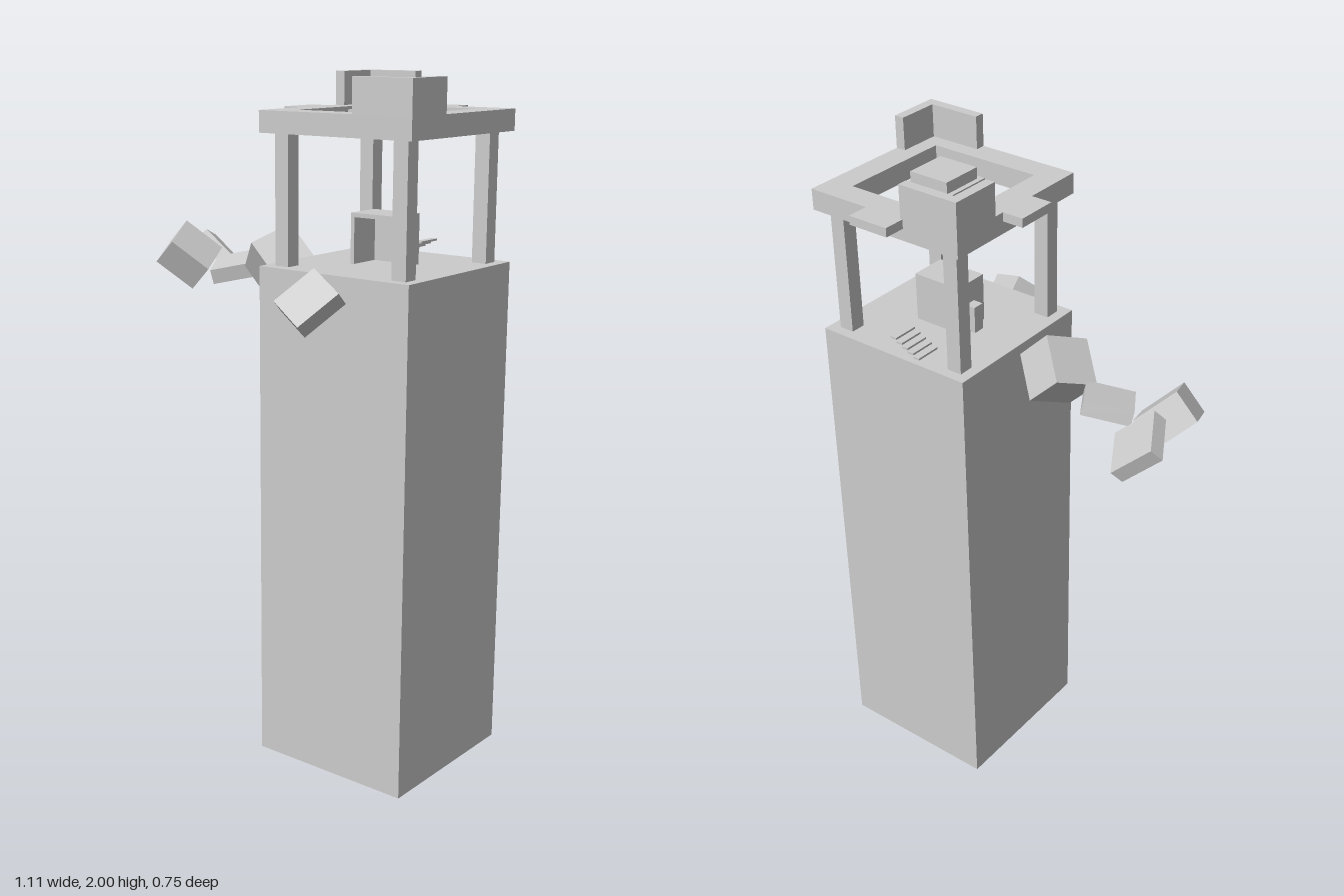
import * as THREE from 'three';

const stone = new THREE.MeshStandardMaterial({ color: 0xcccccc });
stone.name = 'stone';

export function createModel() {
  const model = new THREE.Group();
  model.name = 'ruinedTower';
  const tower = new THREE.Group();
  tower.name = 'tower';
  tower.position.set(0.3, 0, -0.06);
  model.add(tower);

  const add = (name, geometry, parent = tower) => {
    const mesh = new THREE.Mesh(geometry, stone);
    mesh.name = name;
    parent.add(mesh);
    return mesh;
  };
  // Box given by its lower and upper corners
  const block = (name, x0, x1, y0, y1, z0, z1, parent = tower) => {
    const mesh = add(name, new THREE.BoxGeometry(x1 - x0, y1 - y0, z1 - z0), parent);
    mesh.position.set((x0 + x1) / 2, (y0 + y1) / 2, (z0 + z1) / 2);
    return mesh;
  };

  const half = 0.2525, floor = 1.476, deck = 1.843, top = 1.904;

  // Shaft and corner pillars
  block('shaft', -half, half, 0, floor, -half, half);
  for (const x of [-0.198, 0.198])
    for (const z of [-0.198, 0.198])
      block('pillar', x - 0.023, x + 0.023, floor, deck, z - 0.023, z + 0.023);

  // Square ring deck
  const square = (r) => [[-r, -r], [r, -r], [r, r], [-r, r]].map(([x, y]) => new THREE.Vector2(x, y));
  const ring = new THREE.Shape(square(half));
  ring.holes.push(new THREE.Path(square(0.175).reverse()));
  const ringGeo = new THREE.ExtrudeGeometry(ring, { depth: top - deck, bevelEnabled: false });
  add('deckRing', ringGeo.rotateX(-Math.PI / 2)).position.y = deck;

  // L-shaped parapets on two opposite corners
  const ell = new THREE.Shape([
    [0.063, -half], [half, -half], [half, -0.095], [half - 0.03, -0.095],
    [half - 0.03, -half + 0.03], [0.063, -half + 0.03],
  ].map(([x, y]) => new THREE.Vector2(x, y)));
  const ellGeo = new THREE.ExtrudeGeometry(ell, { depth: 2 - top, bevelEnabled: false }).rotateX(-Math.PI / 2);
  for (const turn of [0, Math.PI]) {
    const parapet = add('parapet', ellGeo);
    parapet.position.y = top;
    parapet.rotation.y = turn;
  }

  // Overhanging ledges on the side and back
  block('sideLedge', -0.317, -half, 1.878, top, -0.064, 0.062);
  block('backLedge', -0.07, 0.057, 1.878, top, -0.317, -half);

  // Stepped block hovering in the ring
  block('hoverBase', -0.079, 0.079, deck, top, -0.079, 0.079);
  block('hoverCap', -0.064, 0.064, top, 1.937, -0.064, 0.064);

  // Open-fronted shelter with a small side block
  const shelter = new THREE.Group();
  shelter.name = 'shelter';
  tower.add(shelter);
  block('shelterBack', -0.079, 0.077, floor, 1.62, -0.051, -0.039, shelter);
  block('shelterRoof', -0.079, 0.077, 1.608, 1.62, -0.039, 0.06, shelter);
  block('shelterWall', -0.079, -0.067, floor, 1.608, -0.039, 0.06, shelter);
  block('shelterWall', 0.065, 0.077, floor, 1.608, -0.039, 0.06, shelter);
  block('sideBlock', -0.11, -0.079, floor, 1.556, -0.02, 0.016, shelter);

  // Open stair of thin treads
  for (let i = 0; i < 5; i++) {
    const x = -0.085 + i * 0.02, y = floor + 0.003 + i * 0.0095;
    block('tread', x, x + 0.02, y, y + 0.006, -0.236, -0.157);
  }

  // Drifting slabs: centre, thickness, face normal, direction of one edge
  const slabs = [
    [[0.3, 1.415, 0.288], 0.045, [0, 0.707, 0.707], [0.866, -0.354, 0.354]],
    [[-0.088, 1.445, -0.06], 0.13, [-0.707, 0.707, 0], [0.354, 0.354, -0.866]],
    [[-0.268, 1.411, -0.077], 0.045, [-0.09, 0.965, 0.24], [0.86, 0.18, -0.5]],
    [[-0.452, 1.431, -0.06], 0.096, [0.707, 0.707, 0], [0.354, -0.354, 0.866]],
    [[-0.457, 1.42, -0.215], 0.045, [0.5, 0.7, -0.5], [0.74, -0.66, -0.22]],
  ];
  for (const [centre, thick, normal, edge] of slabs) {
    const n = new THREE.Vector3(...normal).normalize();
    const u = new THREE.Vector3(...edge).projectOnPlane(n).normalize();
    const v = n.clone().cross(u);
    const slab = add('driftingSlab', new THREE.BoxGeometry(0.14, 0.14, thick), model);
    slab.quaternion.setFromRotationMatrix(new THREE.Matrix4().makeBasis(u, v, n));
    slab.position.set(...centre);
  }

  return model;
}
